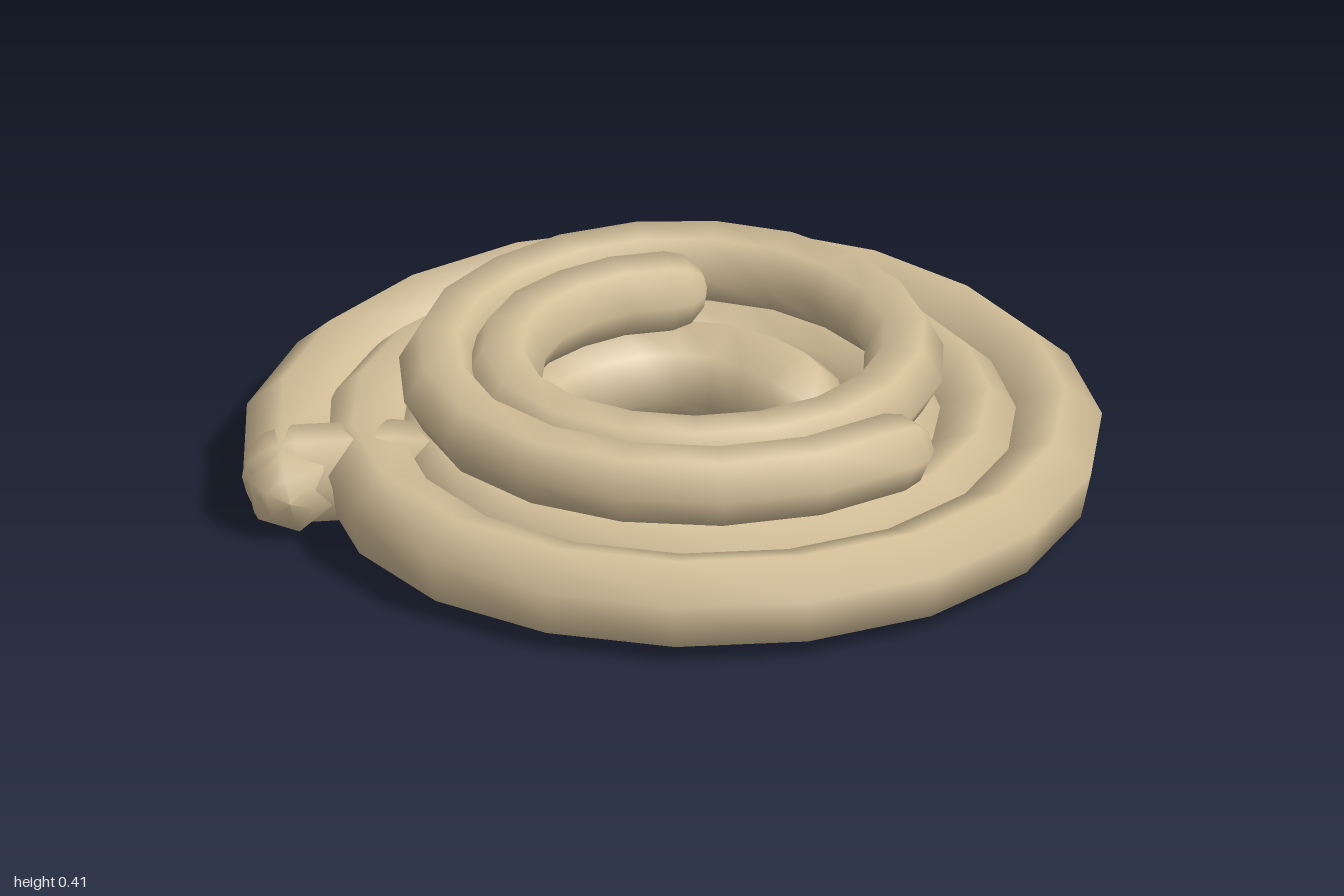
import * as THREE from 'three';

const SIDES = 6;
const UP = new THREE.Vector3(0, 1, 0);

// Hexagonal rope swept along points, with a rounded cap at both ends
function rope(name, points, radius, twist, material) {
  const n = points.length;
  const rings = [];
  const tangentAt = (i) => points[Math.min(i + 1, n - 1)].clone().sub(points[Math.max(i - 1, 0)]).normalize();
  const cap = [90, 60, 30].map((d) => THREE.MathUtils.degToRad(d));
  const first = tangentAt(0), last = tangentAt(n - 1);
  for (const a of cap) {
    rings.push({ c: points[0].clone().addScaledVector(first, -radius * Math.sin(a)), t: first, r: radius * Math.cos(a) });
  }
  points.forEach((c, i) => rings.push({ c, t: tangentAt(i), r: radius }));
  for (const a of cap.slice().reverse()) {
    rings.push({ c: points[n - 1].clone().addScaledVector(last, radius * Math.sin(a)), t: last, r: radius * Math.cos(a) });
  }

  const position = [], index = [];
  rings.forEach(({ c, t, r }, i) => {
    const side = t.clone().cross(UP).normalize();
    const up = side.clone().cross(t);
    for (let j = 0; j < SIDES; j++) {
      const a = (j / SIDES) * Math.PI * 2 + twist;
      const p = c.clone().addScaledVector(side, r * Math.cos(a)).addScaledVector(up, r * Math.sin(a));
      position.push(p.x, p.y, p.z);
      if (i === rings.length - 1) continue;
      const a0 = i * SIDES + j, b0 = i * SIDES + (j + 1) % SIDES;
      index.push(a0, a0 + SIDES, b0, b0, a0 + SIDES, b0 + SIDES);
    }
  });
  const geometry = new THREE.BufferGeometry();
  geometry.setAttribute('position', new THREE.Float32BufferAttribute(position, 3));
  geometry.setIndex(index);
  geometry.computeVertexNormals();
  const mesh = new THREE.Mesh(geometry, material);
  mesh.name = name;
  return mesh;
}

// Inward spiral: one radius per quarter turn; turns are counted from the back (-z) towards +x.
// The height climbs from y0 to y1 during the first turn.
function spiral(radii, firstQuarter, from, to, y0, y1) {
  const perTurn = 19;
  const steps = Math.round((to - from) * perTurn);
  const points = [];
  for (let i = 0; i <= steps; i++) {
    const turn = from + ((to - from) * i) / steps;
    const q = turn * 4 - firstQuarter;
    const k = Math.min(Math.floor(q), radii.length - 2);
    const r = THREE.MathUtils.lerp(radii[k], radii[k + 1], q - k);
    const a = turn * Math.PI * 2;
    const y = THREE.MathUtils.lerp(y0, y1, Math.min(1, i / perTurn));
    points.push(new THREE.Vector3(r * Math.sin(a), y, -r * Math.cos(a)));
  }
  return points;
}

export function createModel() {
  const group = new THREE.Group();
  group.name = 'coiledRope';
  const material = new THREE.MeshStandardMaterial({ color: 0xd2be98 });

  // Wide flat coil on the ground, outer end at the back right, inner end in the hole
  const lowerRadii = [1.02, 0.89, 0.845, 0.89, 0.845, 0.71, 0.67, 0.7, 0.66, 0.54, 0.5, 0.53, 0.5, 0.385, 0.315, 0.315];
  const lower = spiral(lowerRadii, -1, -0.163, 3.27, 0.117, 0.13);
  group.add(rope('lowerCoil', lower, 0.119, -0.31, material));

  // Smaller coil resting on top
  const upperRadii = [0.69, 0.655, 0.54, 0.505, 0.52, 0.5, 0.385, 0.33];
  group.add(rope('upperCoil', spiral(upperRadii, 2, 0.5, 2.1, 0.333, 0.333), 0.095, 0, material));

  // Strand passing under the coils from the outer end to the inside
  const strand = [[-0.82, 0.13, -0.52], [-0.62, 0.125, -0.38], [-0.47, 0.12, -0.16], [-0.43, 0.12, 0.1], [-0.36, 0.12, 0.42]];
  group.add(rope('crossingStrand', strand.map((p) => new THREE.Vector3(...p)), 0.118, 0.1, material));

  return group;
}
